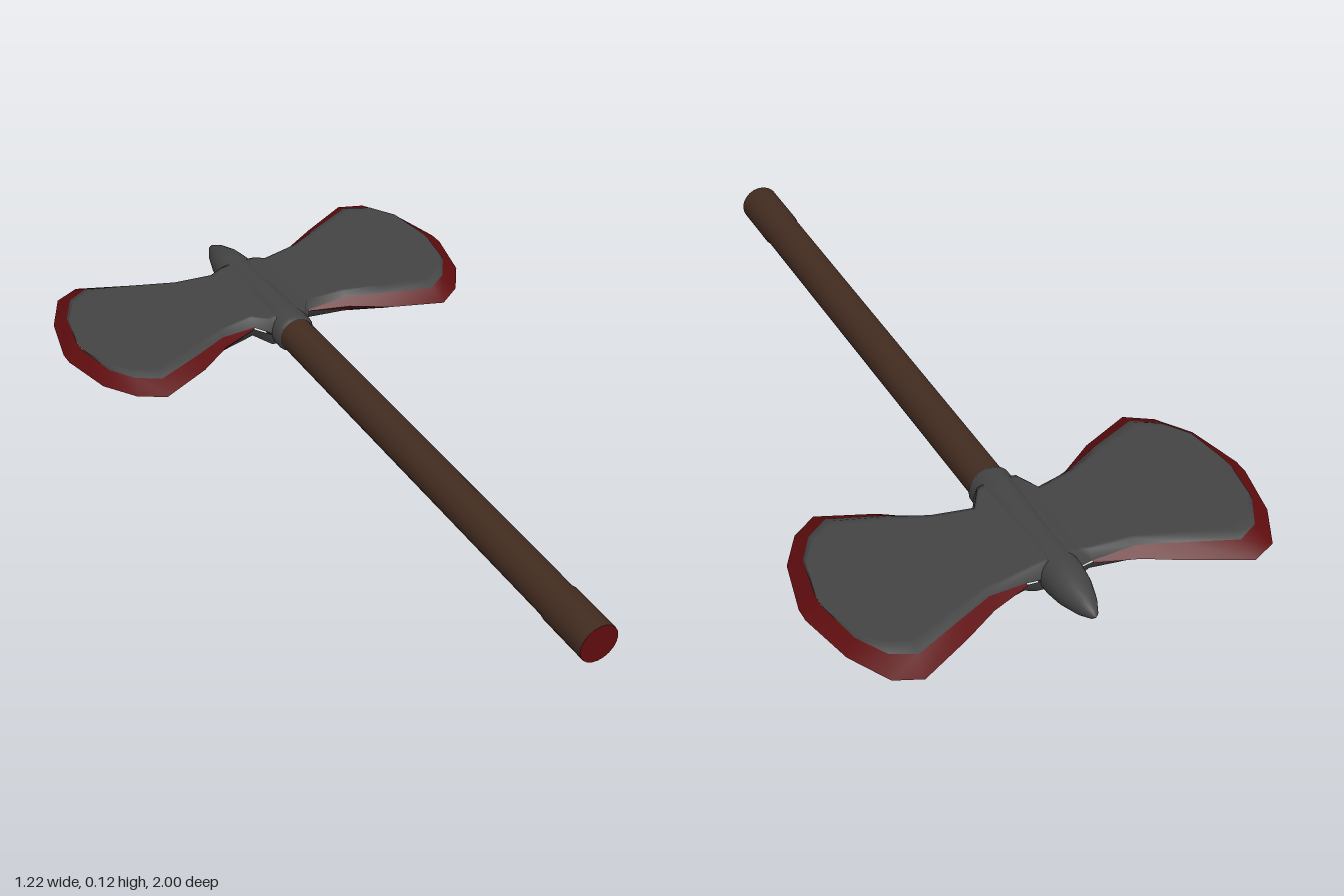
import * as THREE from 'three';
import { mergeGeometries } from 'three/addons/utils/BufferGeometryUtils.js';

const MID_Y = 0.06;   // height of the axe's middle plane
const BLADE_Z = -0.69; // middle of the blades

// Blade stations from hub to cutting edge:
// outer x, outer back, outer front, inner x, inner back, inner front, rim half height, face half height
const STATIONS = [
  [0.02, 0.145, 0.2, 0.02, 0.145, 0.2, 0.002, 0.046],
  [0.055, 0.145, 0.195, 0.055, 0.145, 0.195, 0.002, 0.042],
  [0.09, 0.147, 0.142, 0.09, 0.14, 0.138, 0.003, 0.031],
  [0.2, 0.185, 0.18, 0.2, 0.157, 0.16, 0.022, 0.034],
  [0.3, 0.24, 0.245, 0.3, 0.2, 0.205, 0.026, 0.036],
  [0.445, 0.31, 0.305, 0.435, 0.257, 0.255, 0.027, 0.037],
  [0.515, 0.28, 0.26, 0.497, 0.225, 0.215, 0.027, 0.037],
  [0.575, 0.17, 0.17, 0.543, 0.145, 0.145, 0.027, 0.036],
  [0.61, 0.02, 0.02, 0.567, 0.02, 0.02, 0.027, 0.028],
];

// Skin a grid of points, mirrored in x and y by the given signs
function skin(rows, sx, sy) {
  const n = rows[0].length;
  const pos = rows.flat().flatMap(([x, y, z]) => [x * sx, MID_Y + y * sy, z]);
  const index = [];
  for (let i = 0; i < rows.length - 1; i++) {
    for (let j = 0; j < n - 1; j++) {
      const a = i * n + j, b = a + n, c = b + 1, d = a + 1;
      if (sx * sy > 0) index.push(a, d, b, b, d, c);
      else index.push(a, b, d, b, c, d);
    }
  }
  const geo = new THREE.BufferGeometry();
  geo.setAttribute('position', new THREE.Float32BufferAttribute(pos, 3));
  geo.setIndex(index);
  geo.computeVertexNormals();
  return geo;
}

// Upper and lower skins of one blade as a single geometry
const bothSides = (rows, sx) => mergeGeometries([skin(rows, sx, 1), skin(rows, sx, -1)]);

// Flat cheek of the blade, rolling down to the rim at both ends
function cheekRows() {
  return STATIONS.map(([, , , x, back, front, rimH, faceH]) =>
    [-1, -0.92, -0.85, 0, 0.85, 0.92, 1].map((t) => {
      const z = BLADE_Z + t * (t < 0 ? back : front);
      return [x, Math.abs(t) === 1 ? rimH : faceH, z];
    }));
}

// Bevelled rim running around the blade, from the sharp edge in to the cheek
function rimRows() {
  const outer = STATIONS.slice(2);
  const row = (s, dir) => [
    [s[0], 0, BLADE_Z + dir * s[dir < 0 ? 1 : 2]],
    [s[3], s[6], BLADE_Z + dir * s[dir < 0 ? 4 : 5]],
  ];
  return [...outer.map((s) => row(s, -1)), ...outer.reverse().map((s) => row(s, 1))];
}

// Round part along the z axis; profile is [radius, distance towards the back]
function turned(profile, sides) {
  const geo = new THREE.LatheGeometry(profile.map(([r, d]) => new THREE.Vector2(r, d)), sides);
  return geo.rotateX(-Math.PI / 2).translate(0, MID_Y, 0);
}

export function createModel() {
  const steel = new THREE.MeshStandardMaterial({ name: 'dark steel', color: 0x444444 });
  const red = new THREE.MeshStandardMaterial({ name: 'dark red', color: 0x5e0c0e });
  const wood = new THREE.MeshStandardMaterial({ name: 'brown wood', color: 0x432c20 });

  const model = new THREE.Group();
  model.name = 'doubleAxe';
  const add = (name, geo, mat, parent = model) => {
    const mesh = new THREE.Mesh(geo, mat);
    mesh.name = name;
    parent.add(mesh);
  };

  // Handle with a slightly thicker grip and a red end
  add('handle', turned([[0.055, -1], [0.055, -0.84], [0.052, -0.83], [0.051, 0.5]], 20), wood);
  add('handleEnd', new THREE.CircleGeometry(0.055, 20).translate(0, MID_Y, 1), red);

  // Socket that holds the blades and ends in a spike
  add('socket', turned([
    [0.048, 0.46], [0.059, 0.475], [0.058, 0.56], [0.054, 0.7], [0.054, 0.85],
    [0.047, 0.9], [0.03, 0.955], [0.012, 0.99], [0.0005, 1],
  ], 20), steel);

  // Left and right blades
  for (const [side, sx] of [['left', 1], ['right', -1]]) {
    const blade = new THREE.Group();
    blade.name = `${side}Blade`;
    add(`${side}BladeCheeks`, bothSides(cheekRows(), sx), steel, blade);
    add(`${side}BladeRim`, bothSides(rimRows(), sx), red, blade);
    model.add(blade);
  }
  return model;
}
